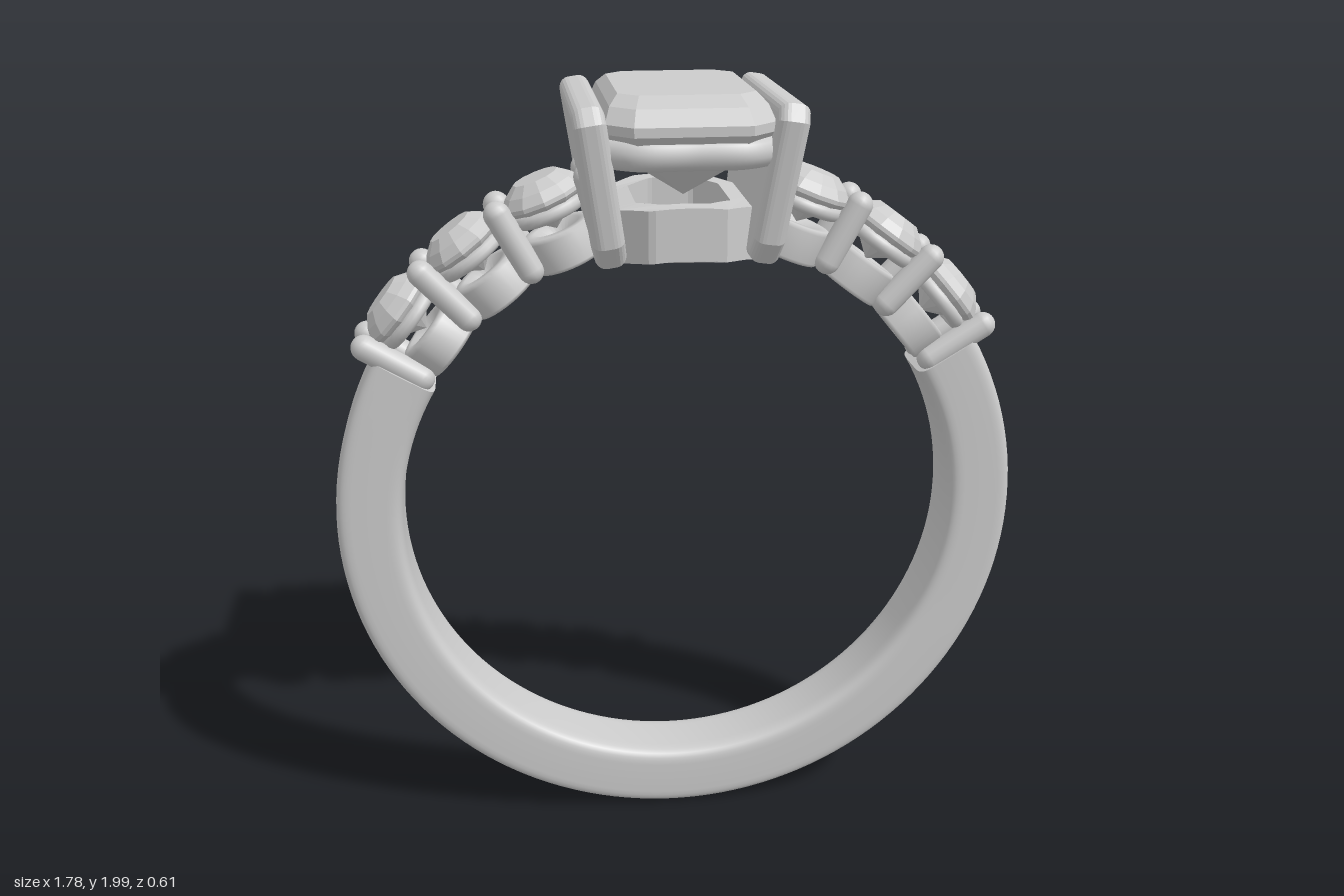
import * as THREE from 'three';

const CY = 0.895; // height of the ring's centre
const rad = THREE.MathUtils.degToRad;
const smooth = new THREE.MeshStandardMaterial({ color: 0xcccccc, side: THREE.DoubleSide });
const faceted = new THREE.MeshStandardMaterial({ color: 0xcccccc, flatShading: true });

function add(parent, name, geometry, material = smooth) {
  const mesh = new THREE.Mesh(geometry, material);
  mesh.name = name;
  parent.add(mesh);
  return mesh;
}

const lathe = (points, sides) =>
  new THREE.LatheGeometry(points.map(([r, y]) => new THREE.Vector2(r, y)), sides);

// Rectangle with cut corners, as x/z pairs
const octagon = (x, z, c) => [
  [x, -z + c], [x, z - c], [x - c, z], [-x + c, z],
  [-x, z - c], [-x, -z + c], [-x + c, -z], [x - c, -z],
];

// Step-cut stone lofted through cut-corner outlines, bottom to top
function stepCut(levels) {
  const rings = levels.map(([x, z, c, y]) => octagon(x, z, c).map(([px, pz]) => [px, y, pz]));
  const out = [];
  for (let k = 0; k < rings.length - 1; k++) {
    for (let i = 0; i < 8; i++) {
      const j = (i + 1) % 8, a = rings[k], b = rings[k + 1];
      out.push(...a[i], ...b[i], ...b[j], ...a[i], ...b[j], ...a[j]);
    }
  }
  const g = new THREE.BufferGeometry();
  g.setAttribute('position', new THREE.Float32BufferAttribute(out, 3));
  g.computeVertexNormals();
  return g;
}

// Open band with a rounded rectangular section and closed ends
function addBand(root) {
  const soft = (v) => Math.sign(v) * Math.abs(v) ** 0.35;
  const profile = [];
  for (let i = 0; i <= 40; i++) {
    const t = (i / 40) * Math.PI * 2;
    profile.push(new THREE.Vector2(0.805 + 0.085 * soft(Math.cos(t)), 0.095 * soft(Math.sin(t))));
  }
  const g = new THREE.LatheGeometry(profile, 96, rad(-121), rad(242));
  add(root, 'band', g.rotateX(Math.PI / 2)).position.y = CY;
  for (const a of [31, 149]) {
    const cap = new THREE.ShapeGeometry(new THREE.Shape(profile));
    add(root, 'bandEnd', cap.rotateX(Math.PI / 2).rotateZ(rad(a))).position.y = CY;
  }
}

// Shoulder settings: round stones in cups, with pairs of prongs between them
function addShoulders(root) {
  const stone = lathe([[0, 0.815], [0.1, 0.89], [0.107, 0.897], [0.107, 0.907],
    [0.088, 0.93], [0.058, 0.952], [0, 0.952]], 12);
  const cup = lathe([[0.012, 0.728], [0.086, 0.728], [0.093, 0.737], [0.093, 0.81],
    [0.085, 0.82], [0.06, 0.82], [0.012, 0.78], [0.012, 0.728]], 28);
  const seat = new THREE.TorusGeometry(0.084, 0.018, 10, 32).rotateX(Math.PI / 2).translate(0, 0.868, 0);
  const prong = new THREE.CapsuleGeometry(0.033, 0.158, 6, 14).translate(0, 0.843, 0);

  const radialGroup = (name, angle) => {
    const g = new THREE.Group();
    g.name = name;
    g.position.y = CY;
    g.rotation.z = rad(angle - 90);
    root.add(g);
    return g;
  };
  for (const side of [1, -1]) {
    for (let i = 0; i < 4; i++) {
      const pair = radialGroup('prongPair', 90 - side * (58 - i * 14.6));
      for (const z of [-0.06, 0.06]) add(pair, 'prong', prong).position.z = z;
      if (i === 3) break;
      const setting = radialGroup('sideSetting', 90 - side * (50.7 - i * 14.6));
      add(setting, 'sideStone', stone, faceted);
      add(setting, 'stoneCup', cup);
      add(setting, 'stoneSeat', seat);
    }
  }
}

// Gallery frame under the head, curved to follow the ring
function addGallery(head) {
  const outline = (Type, x, z, c) => {
    const path = new THREE.Path(octagon(x, z, c).map((p) => new THREE.Vector2(...p)));
    path.closePath();
    return new Type(path.getSpacedPoints(72));
  };
  const shape = outline(THREE.Shape, 0.17, 0.215, 0.08);
  shape.holes.push(outline(THREE.Path, 0.115, 0.16, 0.06));
  const g = new THREE.ExtrudeGeometry(shape, { depth: 1, bevelEnabled: false }).rotateX(-Math.PI / 2);
  const p = g.attributes.position;
  for (let i = 0; i < p.count; i++) {
    const r = p.getY(i) > 0.5 ? 0.845 : 0.72;
    p.setY(i, CY + Math.sqrt(r * r - p.getX(i) ** 2));
  }
  g.computeVertexNormals();
  add(head, 'galleryFrame', g);
}

function addHead(root) {
  const head = new THREE.Group();
  head.name = 'head';
  root.add(head);
  addGallery(head);

  // Leaning side plates with rounded edges
  const outline = [[-0.19, 0.025], [0.19, 0.025], [0.222, 0.065], [0.262, 0.34],
    [0.25, 0.358], [-0.25, 0.358], [-0.262, 0.34], [-0.222, 0.065]];
  const plate = new THREE.ExtrudeGeometry(
    new THREE.Shape(outline.map((p) => new THREE.Vector2(...p))),
    { depth: 0.024, bevelThickness: 0.026, bevelSize: 0.026, bevelSegments: 5 },
  ).translate(0, 0, -0.012).rotateY(Math.PI / 2);
  for (const side of [1, -1]) {
    const m = add(head, 'sidePlate', plate);
    m.position.set(side * 0.18, 1.602, 0);
    m.rotation.z = -side * rad(8.5);
  }

  // Rails beneath the stone, front and back
  for (const side of [1, -1]) {
    const path = new THREE.CatmullRomCurve3(
      [[-0.185, 0.215], [-0.12, 0.258], [0, 0.26], [0.12, 0.258], [0.185, 0.215]]
        .map(([x, z]) => new THREE.Vector3(x, 1.872, side * z)));
    add(head, 'stoneRail', new THREE.TubeGeometry(path, 32, 0.037, 14));
  }

  // Rectangular centre stone
  add(head, 'centreStone', stepCut([
    [0, 0.1, 0, 1.75], [0.1, 0.19, 0.03, 1.82], [0.165, 0.26, 0.05, 1.875],
    [0.195, 0.303, 0.06, 1.918], [0.195, 0.303, 0.06, 1.94],
    [0.182, 0.265, 0.055, 1.975], [0.16, 0.215, 0.045, 1.998], [0, 0.055, 0, 1.998],
  ]), faceted);
}

export function createModel() {
  const root = new THREE.Group();
  root.name = 'ring';
  addBand(root);
  addShoulders(root);
  addHead(root);
  return root;
}
